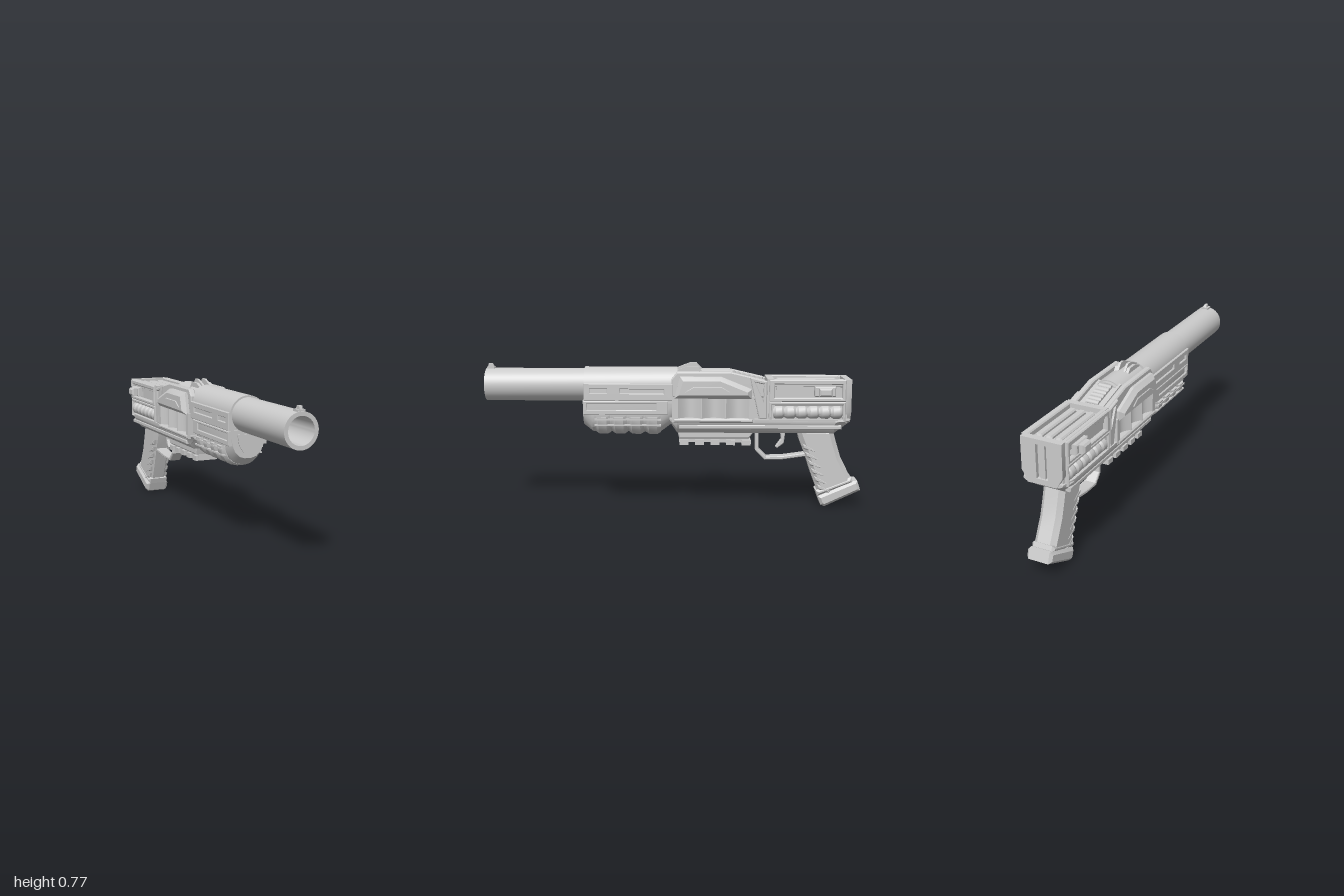
import * as THREE from 'three';
import { toCreasedNormals } from 'three/addons/utils/BufferGeometryUtils.js';

const mat = new THREE.MeshStandardMaterial({ color: 0xcccccc });
const v2 = (pts) => pts.map(([a, b]) => new THREE.Vector2(a, b));
const mirror = (half) => [...half, ...half.map(([x, y]) => [-x, y]).reverse()];

export function createModel() {
  const root = new THREE.Group();

  const add = (name, geo, crease = 0.55) => {
    const mesh = new THREE.Mesh(toCreasedNormals(geo, crease), mat);
    mesh.name = name;
    root.add(mesh);
    return mesh;
  };
  const box = (name, w, h, d, x, y, z, tilt = 0) => {
    const m = add(name, new THREE.BoxGeometry(w, h, d));
    m.position.set(x, y, z);
    m.rotation.x = tilt;
  };
  const shapeOf = (pts, holes = []) => {
    const s = new THREE.Shape(v2(pts));
    holes.forEach((h) => s.holes.push(new THREE.Path(v2(h))));
    return s;
  };
  // Side outline given as (z, y), given width across x
  const side = (name, pts, width, x = 0, bevel = 0, holes = []) => {
    const depth = width - 2 * bevel;
    const g = new THREE.ExtrudeGeometry(shapeOf(pts, holes), {
      depth, bevelEnabled: bevel > 0, bevelSize: bevel, bevelThickness: bevel, bevelOffset: -bevel, bevelSegments: 1,
    });
    g.translate(0, 0, -depth / 2).rotateY(-Math.PI / 2).translate(x, 0, 0);
    add(name, g, 0.3);
  };
  // Cross-section given as (x, y), run from z0 to z1
  const along = (name, pts, z0, z1, holes = []) => {
    const g = new THREE.ExtrudeGeometry(shapeOf(pts, holes), { depth: z1 - z0, bevelEnabled: false });
    add(name, g.translate(0, 0, z0));
  };
  // Skin through counter-clockwise sections [z, points], from back to front
  const loft = (name, sections) => {
    const pos = [];
    const put = (z, p) => pos.push(p[0], p[1], z);
    for (let k = 0; k + 1 < sections.length; k++) {
      const [z0, a] = sections[k], [z1, b] = sections[k + 1];
      a.forEach((p, i) => {
        const j = (i + 1) % a.length;
        put(z0, p); put(z0, a[j]); put(z1, b[j]);
        put(z0, p); put(z1, b[j]); put(z1, b[i]);
      });
    }
    for (const [[z, pts], back] of [[sections[0], true], [sections[sections.length - 1], false]]) {
      for (const f of THREE.ShapeUtils.triangulateShape(v2(pts), [])) {
        (back ? [...f].reverse() : f).forEach((i) => put(z, pts[i]));
      }
    }
    const g = new THREE.BufferGeometry();
    g.setAttribute('position', new THREE.Float32BufferAttribute(pos, 3));
    add(name, g, 0.5);
  };
  const rect = (z0, z1, y0, y1) => [[z0, y0], [z1, y0], [z1, y1], [z0, y1]];
  const arcHalf = (r, cy, n = 12) =>
    Array.from({ length: n + 1 }, (_, i) => [r * Math.cos((i / n) * Math.PI), cy + r * Math.sin((i / n) * Math.PI)]);

  // Barrel with open bore
  const barrel = new THREE.LatheGeometry(v2([[0.087, 0.3], [0.087, 1], [0.067, 1], [0.067, 0.55], [0, 0.55]]), 48);
  add('barrel', barrel.rotateX(Math.PI / 2).translate(0, 0.649, 0));
  box('frontSightBase', 0.04, 0.02, 0.04, 0, 0.734, 0.975);
  side('frontSightBlade', [[0.955, 0.735], [0.968, 0.76], [0.988, 0.76], [0.995, 0.735]], 0.016);

  // Rounded shroud around the barrel, with slotted cheeks
  along('shroud', [[-0.097, 0.56], [0.097, 0.56], ...arcHalf(0.097, 0.648, 24)], -0.02, 0.472);
  for (const s of [1, -1]) {
    side('shroudCheek', rect(0, 0.472, 0.575, 0.665), 0.02, s * 0.097, 0.003,
      [rect(0.35, 0.44, 0.613, 0.636), rect(0.05, 0.28, 0.613, 0.636)]);
    side('foregripStrip', rect(0.03, 0.475, 0.5, 0.572), 0.02, s * 0.095, 0.003, [rect(0.09, 0.455, 0.525, 0.56)]);
  }

  // Foregrip: rounded underside, chamfered at both ends
  const grip = (w, top, low) => {
    const half = [[w, top], [w, low + 0.1], [w * 0.94, low + 0.065], [w * 0.78, low + 0.032], [w * 0.5, low + 0.008], [w * 0.2, low]];
    return mirror(half).reverse();
  };
  loft('foregrip', [[0.0, grip(0.082, 0.575, 0.45)], [0.07, grip(0.097, 0.575, 0.398)],
    [0.43, grip(0.097, 0.575, 0.398)], [0.478, grip(0.09, 0.575, 0.435)]]);
  for (let i = 0; i < 4; i++) {
    const z = 0.068 + i * 0.089;
    loft('foregripPad', [[z, grip(0.1, 0.488, 0.396)], [z + 0.018, grip(0.111, 0.488, 0.385)],
      [z + 0.062, grip(0.111, 0.488, 0.385)], [z + 0.08, grip(0.1, 0.488, 0.396)]]);
  }
  for (const s of [1, -1]) {
    for (const y of [0.475, 0.445]) box('foregripRib', 0.02, 0.008, 0.35, s * (y > 0.46 ? 0.103 : 0.099), y, 0.24);
  }
  along('foregripNose', [[-0.06, 0.555], [-0.05, 0.5], [-0.025, 0.462], [0, 0.455], [0.025, 0.462], [0.05, 0.5], [0.06, 0.555]], 0.47, 0.482);

  // Lower receiver
  const lower = mirror([[0.12, 0.482], [0.12, 0.462], [0.1, 0.425], [0.075, 0.402]]).reverse();
  const lowerEnd = mirror([[0.105, 0.482], [0.105, 0.475], [0.09, 0.465], [0.07, 0.46]]).reverse();
  loft('lowerReceiver', [[-0.925, lowerEnd], [-0.845, lower], [-0.02, lower], [0.02, lowerEnd]]);
  for (const s of [1, -1]) side('lowerStrip', rect(-0.88, -0.03, 0.428, 0.45), 0.03, s * 0.102, 0.004);

  // Middle receiver with exposed chamber
  box('receiverCore', 0.17, 0.2, 0.49, 0, 0.56, -0.245);
  along('chamber', arcHalf(0.085, 0.647, 24), -0.31, 0);
  along('chamberSleeve', arcHalf(0.09, 0.647, 24), -0.29, -0.14);
  side('topRamp', [[-0.26, 0.6], [-0.27, 0.722], [-0.49, 0.67], [-0.49, 0.6]], 0.13);
  for (let i = 0; i < 6; i++) {
    const rib = new THREE.CylinderGeometry(0.014, 0.014, 0.07, 12).rotateZ(Math.PI / 2);
    add('rampRib', rib.translate(0, 0.712 - i * 0.0065, -0.315 - i * 0.026));
  }
  for (const s of [1, -1]) {
    side('receiverWall', [[0.01, 0.595], [0.01, 0.69], [-0.02, 0.727], [-0.3, 0.727], [-0.48, 0.685], [-0.48, 0.595]], 0.032, s * 0.09, 0.006);
    // Overhanging upper panel with a raised inset
    side('upperPanel', [[-0.005, 0.59], [-0.035, 0.705], [-0.25, 0.705], [-0.41, 0.64], [-0.41, 0.59]], 0.06, s * 0.115, 0.022);
    side('panelInset', [[-0.06, 0.625], [-0.11, 0.655], [-0.25, 0.655], [-0.3, 0.625]], 0.012, s * 0.143, 0.003);
    // Fluted side plate
    const flute = [[s * 0.06, -0.005], [s * 0.122, -0.005]];
    for (let i = 0; i < 3; i++) {
      for (let k = 0; k <= 10; k++) flute.push([s * (0.122 - 0.032 * Math.sin((k / 10) * Math.PI)), 0.025 + i * 0.126 + k * 0.012]);
    }
    flute.push([s * 0.122, 0.425], [s * 0.06, 0.425]);
    const plate = new THREE.ExtrudeGeometry(shapeOf(flute), { depth: 0.135, bevelEnabled: false });
    add('flutedPlate', plate.rotateX(-Math.PI / 2).translate(0, 0.465, 0));
    side('plateSill', rect(-0.42, 0, 0.462, 0.485), 0.045, s * 0.105, 0.008);
    // Triangular brace between the middle and rear
    side('rearBrace', [[-0.4, 0.7], [-0.49, 0.68], [-0.49, 0.48], [-0.45, 0.48]], 0.036, s * 0.098, 0.005,
      [[[-0.428, 0.675], [-0.472, 0.665], [-0.472, 0.575]]]);
    // Rear sight prongs
    side('rearSightProng', [[-0.005, 0.735], [-0.06, 0.757], [-0.09, 0.768], [-0.12, 0.768], [-0.15, 0.735]], 0.012, s * 0.02);
    side('sightRamp', [[0.0, 0.725], [-0.07, 0.75], [-0.13, 0.75], [-0.15, 0.725]], 0.018, s * 0.033);
  }

  // Rear block
  box('rearCore', 0.2, 0.2, 0.42, 0, 0.565, -0.7);
  box('rearFrontFrame', 0.22, 0.225, 0.035, 0, 0.58, -0.508);
  for (const x of [-0.052, 0, 0.052]) {
    side('topRidge', [[-0.54, 0.66], [-0.55, 0.682], [-0.86, 0.682], [-0.87, 0.66]], 0.036, x, 0.007);
  }
  for (const s of [1, -1]) {
    side('topRail', [[-0.5, 0.65], [-0.52, 0.692], [-0.885, 0.692], [-0.9, 0.65]], 0.028, s * 0.098, 0.006);
    side('sideFrame', rect(-0.9, -0.5, 0.575, 0.69), 0.036, s * 0.105, 0.005, [rect(-0.88, -0.53, 0.595, 0.665)]);
    side('lowerFrame', rect(-0.9, -0.5, 0.465, 0.575), 0.03, s * 0.105, 0.005, [rect(-0.885, -0.515, 0.478, 0.556)]);
    box('slideBar', 0.02, 0.022, 0.33, s * 0.1, 0.645, -0.705);
    side('slideHandleBase', rect(-0.845, -0.735, 0.603, 0.655), 0.04, s * 0.115, 0.006);
    side('slideHandle', rect(-0.825, -0.755, 0.606, 0.65), 0.06, s * 0.134, 0.009);
    // Beaded tube in the lower channel
    const bead = [[0, -0.885]];
    for (let i = 0; i < 6; i++) {
      const z = -0.883 + i * 0.0605;
      bead.push([0.027, z], [0.035, z + 0.012], [0.035, z + 0.045], [0.027, z + 0.058]);
    }
    bead.push([0, -0.518]);
    add('beadedTube', new THREE.LatheGeometry(v2(bead), 20).rotateX(Math.PI / 2).translate(s * 0.091, 0.517, 0), 0.4);
  }

  // Rear plate with vertical slot
  const plateEdge = mirror([[0.108, 0.69], [0.108, 0.52], [0.075, 0.462]]);
  along('rearPlate', plateEdge, -0.93, -0.895, [[[-0.03, 0.49], [0.03, 0.49], [0.03, 0.665], [-0.03, 0.665]]]);
  box('rearPlateBar', 0.028, 0.17, 0.02, 0, 0.577, -0.913);

  // Accessory rail
  side('railBase', [[-0.02, 0.41], [-0.03, 0.368], [-0.4, 0.368], [-0.43, 0.41]], 0.13, 0, 0.006);
  box('railWeb', 0.09, 0.03, 0.37, 0, 0.36, -0.215);
  for (let i = 0; i < 5; i++) box('railTooth', 0.125, 0.027, 0.048, 0, 0.346, -0.055 - i * 0.083);

  // Trigger and guard
  side('triggerGuard', [[-0.435, 0.41], [-0.437, 0.3], [-0.488, 0.248], [-0.58, 0.25], [-0.72, 0.27], [-0.72, 0.288],
    [-0.58, 0.268], [-0.497, 0.266], [-0.456, 0.307], [-0.454, 0.41]], 0.066, 0, 0.004);
  side('trigger', [[-0.57, 0.41], [-0.575, 0.36], [-0.545, 0.318], [-0.555, 0.308], [-0.59, 0.335], [-0.6, 0.41]], 0.03, 0, 0.004);

  // Pistol grip with finger ridges and butt cap
  side('gripBody', [[-0.655, 0.42], [-0.67, 0.36], [-0.7, 0.285], [-0.735, 0.18], [-0.785, 0.05], [-0.965, 0.12],
    [-0.925, 0.2], [-0.89, 0.27], [-0.865, 0.35], [-0.845, 0.42]], 0.118, 0, 0.024);
  for (let i = 0; i < 6; i++) {
    const z = -0.698 - i * 0.0165, y = 0.322 - i * 0.044;
    side('gripRidge', [[z + 0.014, y + 0.018], [z + 0.006, y - 0.008], [z - 0.055, y - 0.03], [z - 0.06, y - 0.016], [z - 0.02, y + 0.008]], 0.121, 0, 0.006);
  }
  side('buttCap', [[-0.772, 0.055], [-0.79, 0.008], [-0.81, 0], [-1, 0.09], [-0.983, 0.14], [-0.965, 0.14]], 0.136, 0, 0.014);
  side('buttBand', [[-0.762, 0.085], [-0.772, 0.055], [-0.962, 0.132], [-0.95, 0.16]], 0.124, 0, 0.012);
  return root;
}
